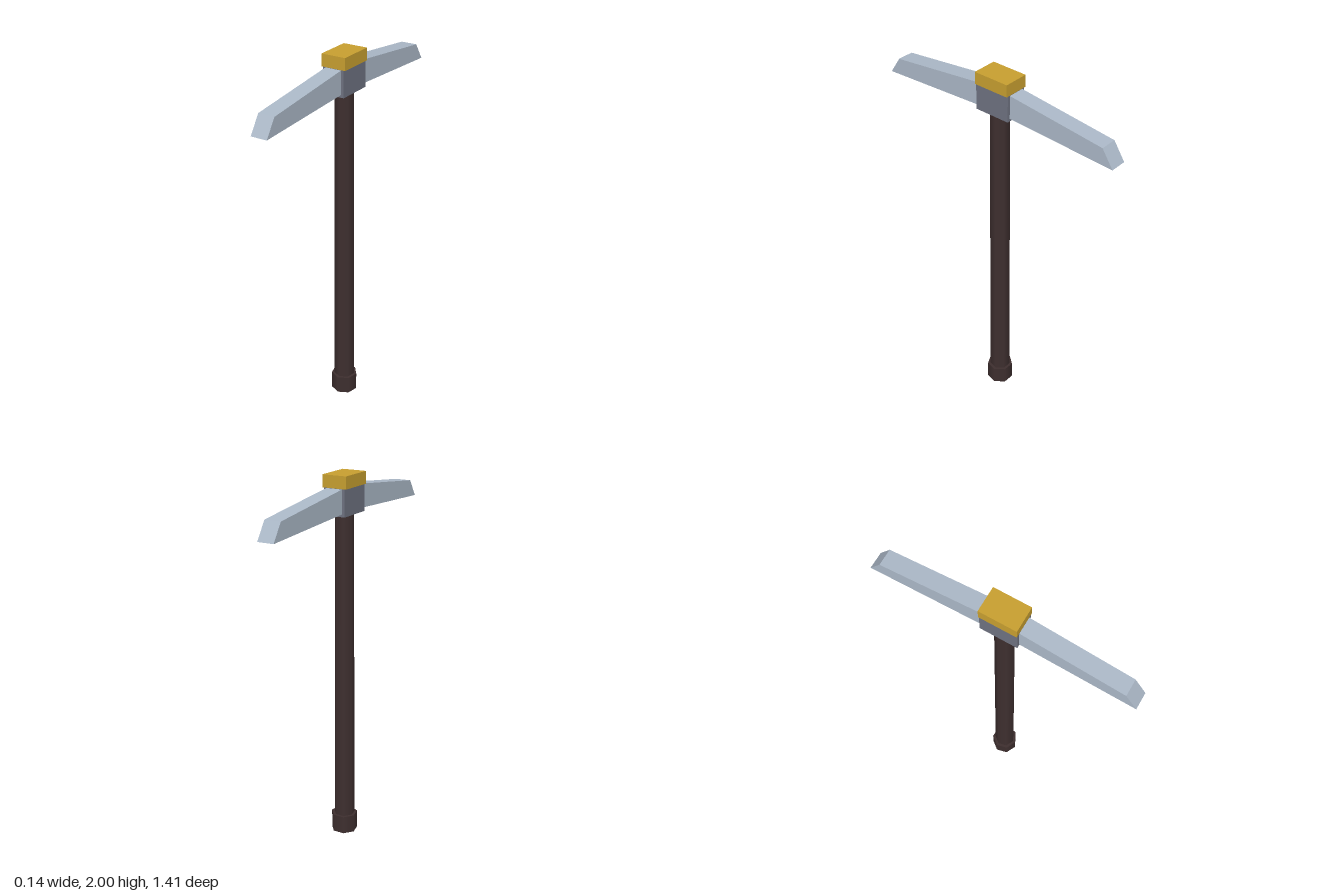
import * as THREE from 'three';

const material = (name, color) => {
  const m = new THREE.MeshStandardMaterial({ color });
  m.name = name;
  return m;
};

export function createModel() {
  const wood = material('dark wood', 0x3e2f2f);
  const steel = material('pale steel', 0xabb8c7);
  const iron = material('dark iron', 0x6e7280);
  const gold = material('gold', 0xc79f30);

  const group = new THREE.Group();
  group.name = 'pickaxe';
  const add = (name, geometry, mat, y = 0) => {
    const mesh = new THREE.Mesh(geometry, mat);
    mesh.name = name;
    mesh.position.y = y;
    group.add(mesh);
    return mesh;
  };

  // Seven-sided tapered handle and its pommel
  add('handle', new THREE.CylinderGeometry(0.05, 0.057, 1.72, 7), wood, 0.95);
  add('pommel', new THREE.CylinderGeometry(0.072, 0.072, 0.1, 7), wood, 0.05);

  // Head socket and the cap above it
  add('socket', new THREE.BoxGeometry(0.12, 0.14, 0.2), iron, 1.865);
  add('cap', new THREE.BoxGeometry(0.136, 0.065, 0.2), gold, 1.9675);

  // Side profile of one pick arm, swept across the width
  const profile = new THREE.Shape([
    [0.09, 1.81], [0.707, 1.78], [0.645, 1.872], [0.09, 1.935],
  ].map(([z, y]) => new THREE.Vector2(z, y)));
  const arm = new THREE.ExtrudeGeometry(profile, { depth: 0.09, bevelEnabled: false });
  arm.translate(0, 0, -0.045).rotateY(-Math.PI / 2);

  add('frontArm', arm, steel);
  add('backArm', arm, steel).rotation.y = Math.PI;

  return group;
}
